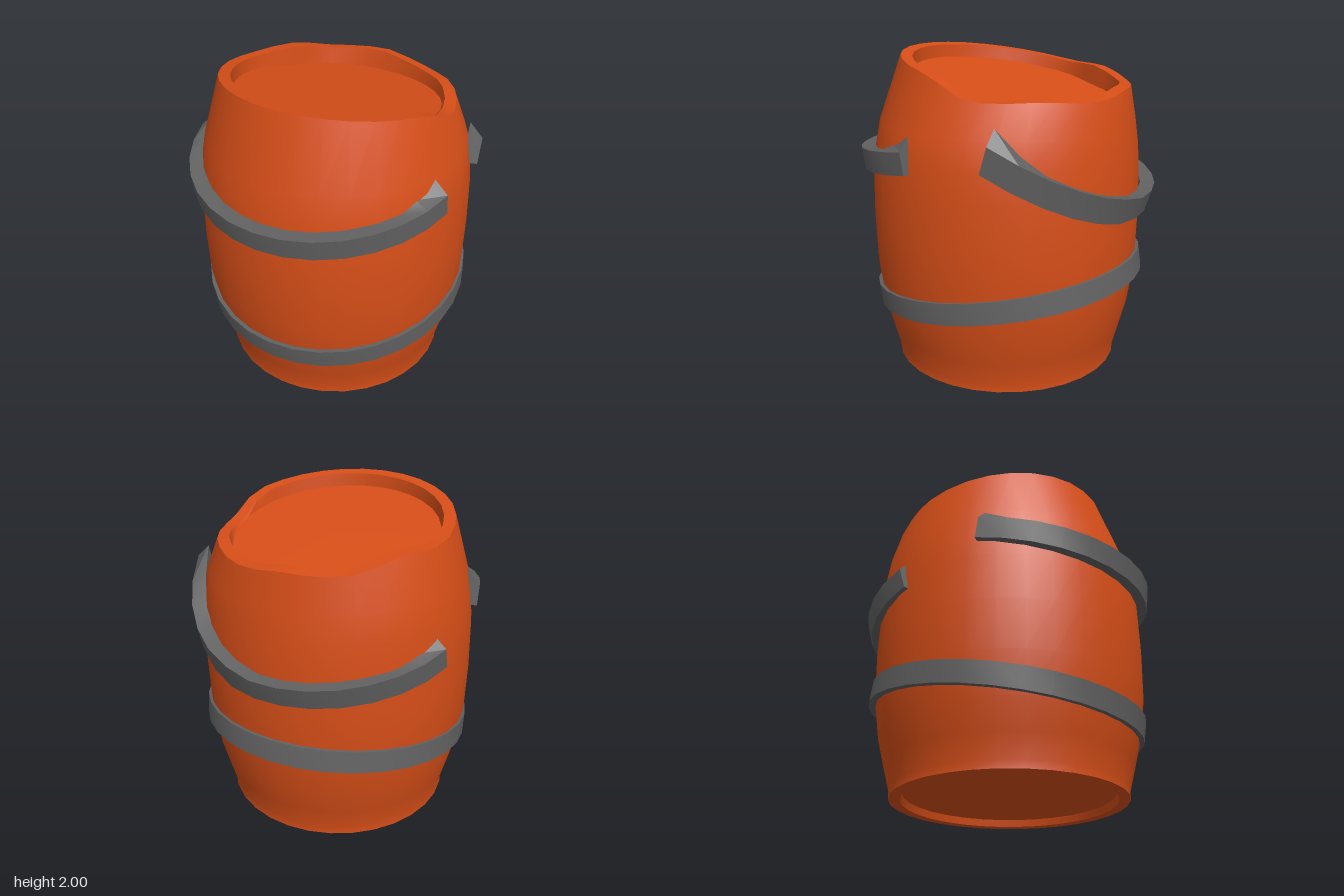
import * as THREE from 'three';
import { toCreasedNormals } from 'three/addons/utils/BufferGeometryUtils.js';

const SEG = 32;
const RAD = Math.PI / 180;
const paint = new THREE.MeshStandardMaterial({ color: 0xd64e18 });
const iron = new THREE.MeshStandardMaterial({ color: 0x626262 });

// Skin a list of closed rings, each an array of [x, y, z]
function loft(rings, crease) {
  const n = rings[0].length;
  const index = [];
  for (let k = 0; k < rings.length - 1; k++) {
    for (let i = 0; i < n; i++) {
      const a = k * n + i, b = k * n + (i + 1) % n;
      index.push(a, b, b + n, a, b + n, a + n);
    }
  }
  const geo = new THREE.BufferGeometry();
  geo.setAttribute('position', new THREE.Float32BufferAttribute(rings.flat(2), 3));
  geo.setIndex(index);
  return toCreasedNormals(geo, crease);
}

// Ring around the y axis; r and y may depend on the angle (0 = front, 90 = +x)
function ring(r, y, cx = 0, cz = 0) {
  return Array.from({ length: SEG }, (_, i) => {
    const t = (i / SEG) * 360;
    const rad = r(t), z = cz + rad * Math.cos(t * RAD);
    return [cx + rad * Math.sin(t * RAD), y(t, z), z];
  });
}

// Slanted top plane and the crumpling of the rim, sampled every 15 degrees from 75
const plane = (z) => 1.884 + 0.176 * z;
const BUMPS = [-0.005, -0.07, -0.065, -0.02, 0, 0, 0.02, 0.05, 0.045, 0.025, 0.04, 0.05, 0.01, 0];
function bump(t) {
  const u = (t - 75) / 15, i = Math.floor(u);
  if (u < 0 || i >= BUMPS.length - 1) return 0;
  return THREE.MathUtils.lerp(BUMPS[i], BUMPS[i + 1], u - i);
}
const dent = (t) => Math.exp(-(((t - 238) / 17) ** 2));

function barrel() {
  const level = (r, y, cz = 0) => ring(() => r, () => y, 0, cz);
  const rimY = (t, z) => plane(z) + bump(t);
  const lidY = (t, z) => plane(z) - 0.08;
  const lidR = (t) => 0.635 - 0.05 * dent(t);
  return loft([
    // recessed bottom and foot rim
    level(0, 0.045), level(0.655, 0.045), level(0.665, 0), level(0.735, 0),
    // staves
    level(0.735, 0.05), level(0.775, 0.2), level(0.82, 0.38), level(0.857, 0.64),
    level(0.865, 0.95), level(0.858, 1.25), level(0.84, 1.42, -0.005), level(0.812, 1.58, -0.01),
    // crumpled rim
    ring((t) => 0.72 - 0.04 * dent(t), rimY, -0.015, -0.062),
    ring((t) => 0.648 - 0.055 * dent(t), rimY, -0.015, -0.062),
    // sunken lid
    ring(lidR, lidY, -0.015, -0.055),
    ring(() => 0, lidY, -0.015, -0.055),
  ], 0.6);
}

// Hoop or broken hoop: o.y(t, z) is the mid height, o.lean tips the section in z,
// o.spike lifts the inner top corner at the torn ends
function hoop(o) {
  const { from, to, r, inner, cz, lean } = o;
  const steps = Math.round((to - from) / (360 / SEG));
  const open = to - from < 360;
  const rings = [];
  for (let k = 0; k <= steps; k++) {
    const t = from + ((to - from) * k) / steps;
    const s = Math.sin(t * RAD), c = Math.cos(t * RAD);
    const mid = o.y(t, cz + r * c);
    const h = o.h ? o.h(t) : 0.068;
    const ends = Math.min(k, steps - k);
    const spike = open ? [0.085, 0.03][ends] || 0 : 0;
    const corner = (rad, dy) => [rad * s, mid + dy, cz + rad * c + lean * dy];
    rings.push([corner(r, h), corner(r, -h), corner(inner, -h), corner(inner, h + spike)]);
  }
  if (open) {
    // end caps
    const cap = (q) => {
      const m = [0, 1, 2].map((j) => q.reduce((sum, p) => sum + p[j] / 4, 0));
      return q.map(() => m);
    };
    rings.unshift(cap(rings[0]));
    rings.push(cap(rings[rings.length - 1]));
  }
  return loft(rings, 0.5);
}

export function createModel() {
  const model = new THREE.Group();
  const add = (name, geo, mat) => {
    const mesh = new THREE.Mesh(geo, mat);
    mesh.name = name;
    model.add(mesh);
  };

  add('barrelBody', barrel(), paint);

  add('lowerHoop', hoop({
    from: 0, to: 360, r: 0.87, inner: 0.79, cz: -0.02, lean: 0.16,
    y: (t, z) => 0.545 - 0.16 * (z + 0.02),
  }), iron);

  add('brokenFrontHoop', hoop({
    from: -78.75, to: 78.75, r: 0.872, inner: 0.78, cz: 0.06, lean: 0.16,
    y: (t, z) => 1.31 + 0.16 * (0.93 - z),
  }), iron);

  // steep on the +x half, shallow on the other
  add('brokenBackHoop', hoop({
    from: 105, to: 255, r: 0.875, inner: 0.785, cz: -0.065, lean: -0.3,
    y: (t, z) => 1.11 + (t < 180 ? 0.6 : 0.18) * (z + 0.94),
    h: (t) => (t < 168 ? 0.08 : 0.068),
  }), iron);

  return model;
}
